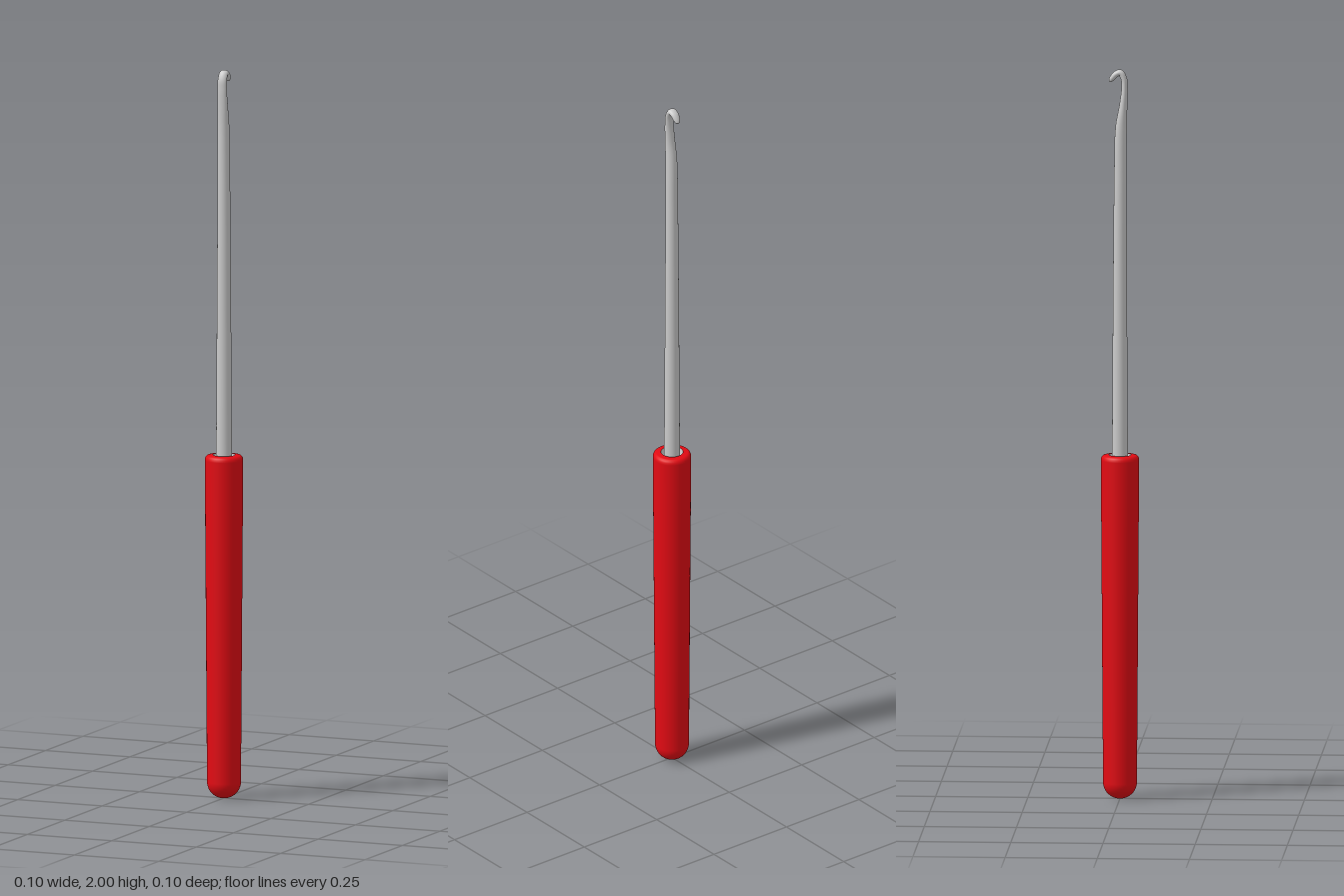
import * as THREE from 'three';

// Sweeps an elliptical section along a path in the yz plane; rows are [y, z, radius in x, radius across]
function sweep(rows, steps, sides) {
  const path = new THREE.CatmullRomCurve3(rows.map(([y, z]) => new THREE.Vector3(0, y, z)));
  const radii = new THREE.CatmullRomCurve3(rows.map(([y, , rx, rn]) => new THREE.Vector3(rx, rn, y)));
  const positions = [], index = [];
  for (let i = 0; i <= steps; i++) {
    const c = path.getPoint(i / steps), t = path.getTangent(i / steps), r = radii.getPoint(i / steps);
    for (let j = 0; j < sides; j++) {
      const a = (j / sides) * Math.PI * 2, n = Math.sin(a) * r.y;
      positions.push(Math.cos(a) * r.x, c.y - t.z * n, c.z + t.y * n);
      if (i === steps) continue;
      const p = i * sides + j, q = i * sides + (j + 1) % sides;
      index.push(p, p + sides, q, q, p + sides, q + sides);
    }
  }
  const geometry = new THREE.BufferGeometry();
  geometry.setAttribute('position', new THREE.Float32BufferAttribute(positions, 3));
  geometry.setIndex(index);
  geometry.computeVertexNormals();
  return geometry;
}

export function createModel() {
  const group = new THREE.Group();
  const red = new THREE.MeshStandardMaterial({ color: 0xe30b13, side: THREE.DoubleSide });
  const grey = new THREE.MeshStandardMaterial({ color: 0xcccccc });

  // Tapered grip: domed butt, softened rim
  const profile = [];
  for (let i = 0; i <= 10; i++) {
    const a = (i / 10) * Math.PI / 2;
    profile.push(new THREE.Vector2(0.046 * Math.sin(a), 0.045 * (1 - Math.cos(a))));
  }
  profile.push(new THREE.Vector2(0.052, 0.928));
  for (let i = 1; i <= 4; i++) {
    const a = (i / 4) * Math.PI / 2;
    profile.push(new THREE.Vector2(0.042 + 0.01 * Math.cos(a), 0.928 + 0.014 * Math.sin(a)));
  }
  profile.push(new THREE.Vector2(0.03, 0.943));
  const handle = new THREE.Mesh(new THREE.LatheGeometry(profile, 48), red);
  handle.name = 'handle';
  group.add(handle);

  // Sunken grey socket around the shaft
  const socketProfile = [[0.03, 0.943], [0.028, 0.92], [0.021, 0.915]].map(p => new THREE.Vector2(...p));
  const socketMaterial = grey.clone();
  socketMaterial.side = THREE.DoubleSide;
  const socket = new THREE.Mesh(new THREE.LatheGeometry(socketProfile, 48), socketMaterial);
  socket.name = 'socket';
  group.add(socket);

  // Shaft thinning into a neck that curls over backwards to the hook tip
  const shaft = new THREE.Mesh(sweep([
    [0.85, 0, 0.022, 0.022],
    [1.3, 0, 0.0195, 0.0195],
    [1.7, 0.001, 0.017, 0.017],
    [1.84, 0.003, 0.016, 0.0155],
    [1.9, 0.009, 0.015, 0.011],
    [1.95, 0.0125, 0.0135, 0.0085],
    [1.975, 0.0105, 0.013, 0.0085],
    [1.991, 0.001, 0.0125, 0.0085],
    [1.987, -0.011, 0.012, 0.0085],
    [1.976, -0.021, 0.01, 0.0075],
    [1.968, -0.027, 0.006, 0.0045],
    [1.966, -0.0285, 0.0003, 0.0003],
  ], 88, 32), grey);
  shaft.name = 'shaftAndHook';
  group.add(shaft);

  return group;
}
